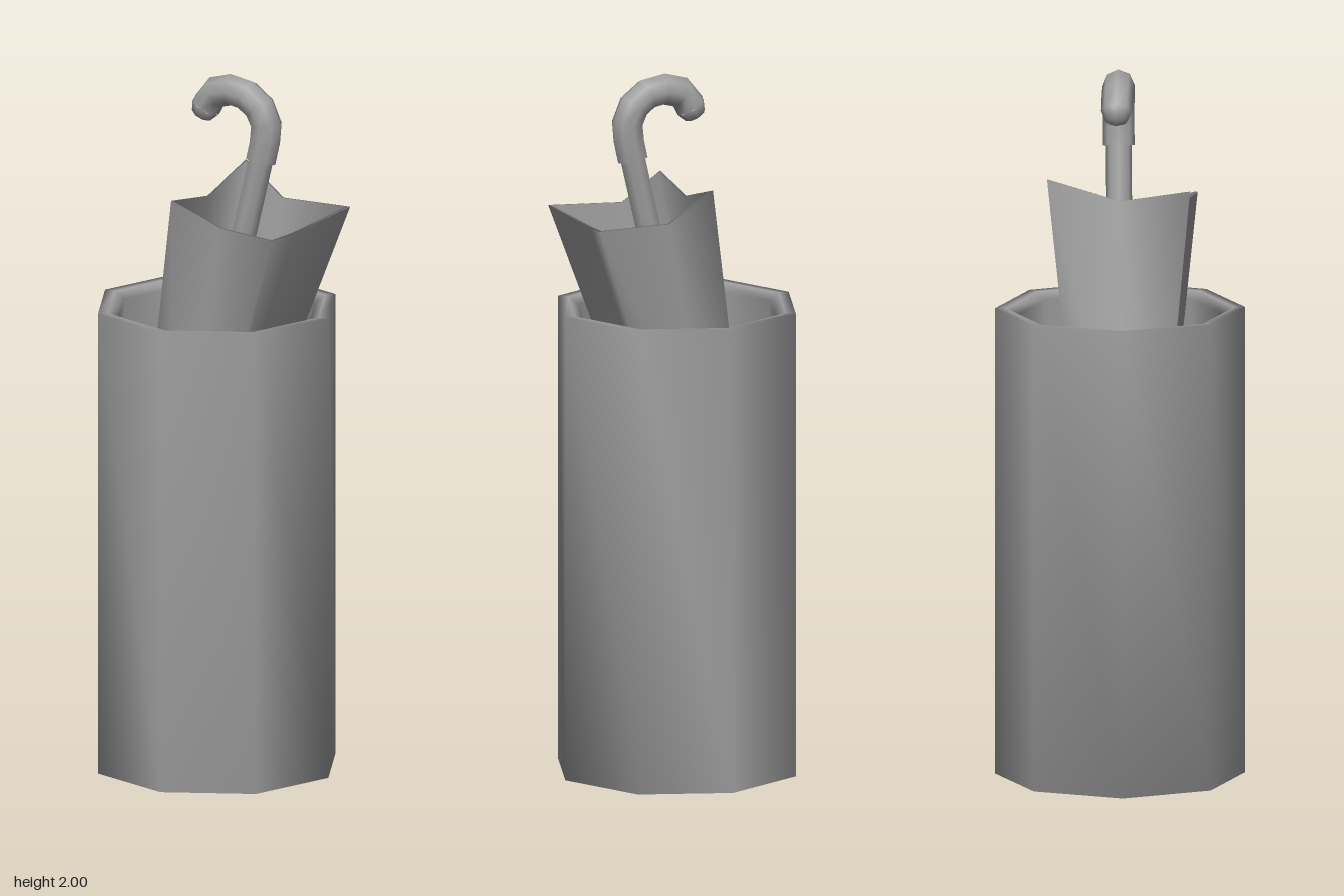
import * as THREE from 'three';

const V = (x, y, z = 0) => new THREE.Vector3(x, y, z);

function makeMesh(name, geometry, parent) {
  const mesh = new THREE.Mesh(geometry, new THREE.MeshStandardMaterial({ color: 0xa0a0a0 }));
  mesh.name = name;
  parent.add(mesh);
  return mesh;
}

// Smooth skin through rings of equal point count (anticlockwise from above), closed at both ends
function skin(rings) {
  const n = rings[0].length, last = (rings.length - 1) * n, index = [];
  for (let r = 0; r < last; r += n)
    for (let i = 0; i < n; i++) {
      const a = r + i, b = r + (i + 1) % n;
      index.push(a, b, a + n, b, b + n, a + n);
    }
  for (let i = 0; i < n / 2 - 1; i++) {
    const [a, b, c, d] = [i, i + 1, n - 2 - i, n - 1 - i];
    index.push(a, c, b, a, d, c);
    index.push(last + a, last + b, last + c, last + a, last + c, last + d);
  }
  const g = new THREE.BufferGeometry().setFromPoints(rings.flat());
  g.setIndex(index);
  g.computeVertexNormals();
  return g;
}

export function createModel() {
  const model = new THREE.Group();
  model.name = 'umbrellaStand';

  // Hollow eight-sided stand with a bevelled rim and an inner floor
  const octagon = (radius, y) => Array.from({ length: 8 }, (_, i) => {
    const a = (i + 3) * Math.PI / 4;
    return V(radius * Math.cos(a), y, -radius * Math.sin(a));
  });
  makeMesh('stand', skin([
    octagon(0.35, 0), octagon(0.35, 1.33), octagon(0.32, 1.33), octagon(0.29, 1.31), octagon(0.29, 0.06),
  ]), model);

  const umbrella = new THREE.Group();
  umbrella.name = 'umbrella';
  model.add(umbrella);

  // Half-folded canopy: four points with valleys between, tapering down the leaning axis
  const centre = V(0.12, 1.62);
  const mouth = [
    V(0.33, 1.61, -0.175), V(0.12, 1.61, -0.18), V(-0.01, 1.70, -0.205), V(-0.03, 1.64, 0),
    V(-0.045, 1.67, 0.195), V(0.09, 1.60, 0.165), V(0.29, 1.60, 0.225), V(0.255, 1.57, 0.03),
  ];
  const ring = (x, y, scale) =>
    mouth.map((p) => p.clone().sub(centre).multiplyScalar(scale).add(V(x, y)));
  makeMesh('canopy', skin([
    ring(-0.268, 0.08, 0.05), ring(-0.08, 0.82, 0.58), ring(0.12, 1.62, 1),
    ring(0.12, 1.62, 0.96), ring(-0.08, 0.83, 0.54), ring(-0.25, 0.15, 0.05),
  ]), umbrella);

  // Straight shaft from inside the canopy up into the grip
  const shaft = new THREE.LineCurve3(V(-0.198, 0.35), V(0.148, 1.8));
  makeMesh('shaft', new THREE.TubeGeometry(shaft, 1, 0.037, 8), umbrella);

  // Hooked grip, slightly thicker than the shaft, closed below and rounded off at the tip
  const hook = new THREE.CatmullRomCurve3([
    V(0.14, 1.765), V(0.152, 1.82), V(0.154, 1.88), V(0.115, 1.935),
    V(0.045, 1.955, -0.004), V(-0.015, 1.936, -0.008), V(-0.036, 1.9, -0.01),
  ]);
  const gripRadius = 0.045;
  makeMesh('hookedGrip', new THREE.TubeGeometry(hook, 7, gripRadius, 8), umbrella);

  const collar = makeMesh('gripCollar', new THREE.CircleGeometry(gripRadius, 8), umbrella);
  collar.position.copy(hook.getPoint(0));
  collar.quaternion.setFromUnitVectors(V(0, 0, 1), hook.getTangent(0).negate());

  const dome = new THREE.SphereGeometry(gripRadius, 8, 2, 0, Math.PI * 2, 0, Math.PI / 2);
  const tip = makeMesh('gripTip', dome, umbrella);
  tip.position.copy(hook.getPoint(1));
  tip.quaternion.setFromUnitVectors(V(0, 1, 0), hook.getTangent(1));

  return model;
}
